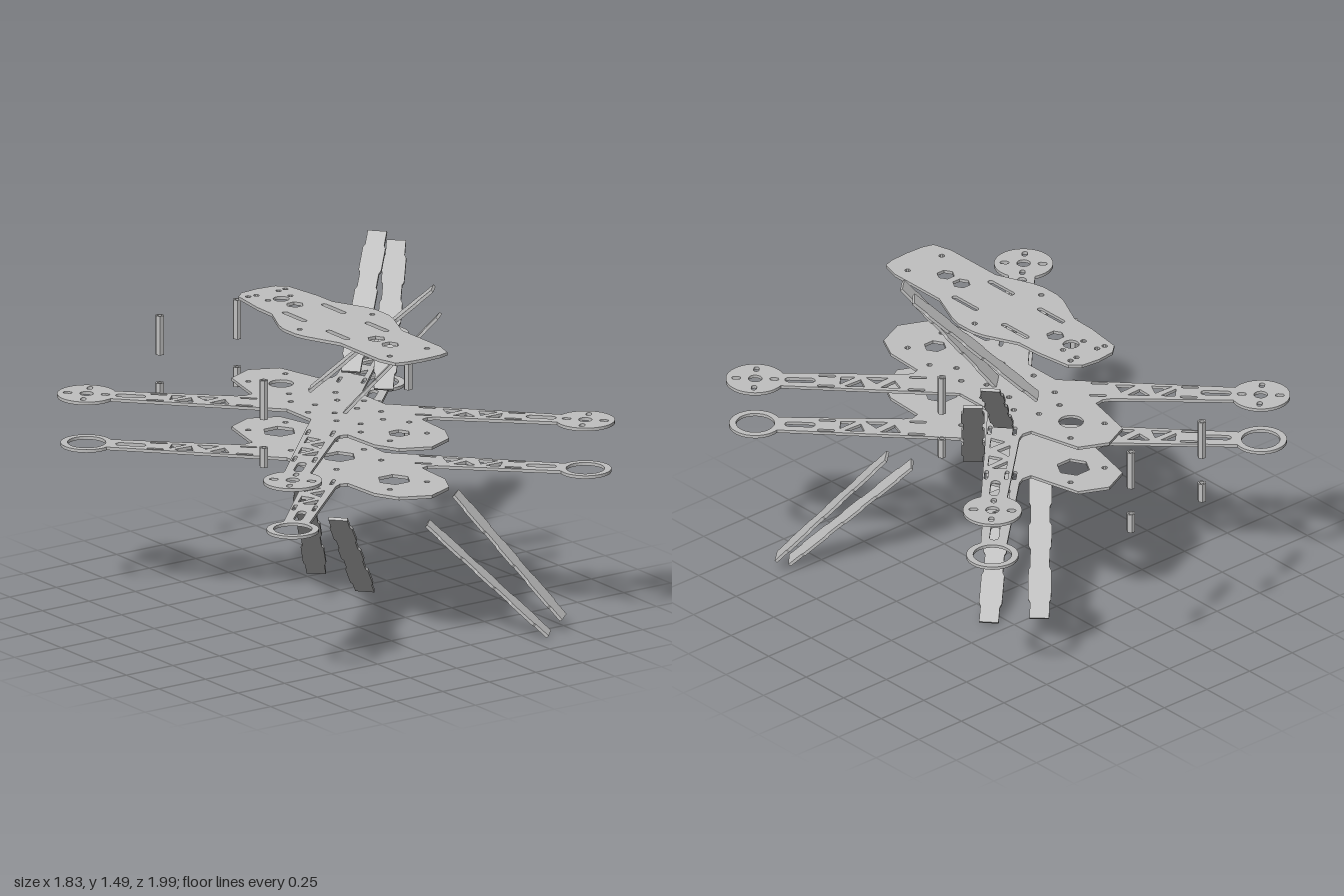
import * as THREE from 'three';

const T = 0.014;                  // sheet thickness
const ZC = 0.075;                 // z where the four arms cross
const TIP = 0.787;                // motor offset in x and z
const REACH = TIP * Math.SQRT2;   // distance from crossing to motor
const gray = new THREE.MeshStandardMaterial({ color: 0xc0c0c0 });
gray.name = 'gray';

const V = (x, y) => new THREE.Vector2(x, y);

// Outlines used as cut-outs
function ngon(cx, cy, r, n = 14, a0 = 0) {
  return Array.from({ length: n }, (_, i) => {
    const a = a0 + (i / n) * Math.PI * 2;
    return V(cx + r * Math.cos(a), cy + r * Math.sin(a));
  });
}
function slot(x0, y0, x1, y1, r) {
  const a = Math.atan2(y1 - y0, x1 - x0), pts = [];
  for (const [x, y, s] of [[x1, y1, -0.5], [x0, y0, 0.5]]) {
    for (let i = 0; i <= 6; i++) {
      const b = a + Math.PI * (s + i / 6);
      pts.push(V(x + r * Math.cos(b), y + r * Math.sin(b)));
    }
  }
  return pts;
}
const both = (f) => [f(1), f(-1)];

// Cut sheet from an outline, extruded along +z
function sheet(outline, holes, depth = T) {
  const shape = new THREE.Shape(outline);
  shape.holes = holes.map((h) => new THREE.Path(h));
  return new THREE.ExtrudeGeometry(shape, { depth, bevelEnabled: false });
}

// Horizontal plate: outline in (x, z), centred on height y
function plate(name, outline, holes, y) {
  const geo = sheet(outline, holes);
  geo.rotateX(Math.PI / 2);
  geo.translate(0, y + T / 2, 0);
  const mesh = new THREE.Mesh(geo, gray);
  mesh.name = name;
  return mesh;
}

// Close a right-hand half outline with its mirror image
function mirrored(half) {
  const other = half.filter((p) => p.x > 0.001).map((p) => V(-p.x, p.y)).reverse();
  return [...half, ...other];
}

// Rounded arm end of radius R; front arms have sz = 1
function armEnd(sz, R) {
  const cx = TIP, cy = ZC + sz * 0.79, a = Math.asin(0.058 / R);
  const mid = sz * Math.PI / 4, n = 36;
  return Array.from({ length: n + 1 }, (_, i) => {
    const b = mid + (Math.PI - a) * (2 * i / n - 1);
    return V(cx + R * Math.cos(b), cy + R * Math.sin(b));
  });
}

// Body with four diagonal arms
function frameOutline(R) {
  return mirrored([
    V(0, -0.6), V(0.13, -0.54), V(0.165, -0.4), V(0.19, -0.295), V(0.235, -0.29), V(0.27, -0.308),
    ...armEnd(-1, R),
    V(0.2, -0.017), V(0.2, 0.167),
    ...armEnd(1, R),
    V(0.27, 0.458), V(0.235, 0.44), V(0.2, 0.45), V(0.19, 0.64), V(0.135, 0.75), V(0, 0.81),
  ]);
}

// Truss windows and slots on every arm
function armHoles() {
  const out = [];
  for (const sx of [1, -1]) for (const sz of [1, -1]) {
    const at = (u, v) => V(sx * (u + v) * Math.SQRT1_2, ZC + sz * (u - v) * Math.SQRT1_2);
    const cut = (u0, v0, u1, v1, r) => {
      const a = at(u0, v0), b = at(u1, v1);
      out.push(slot(a.x, a.y, b.x, b.y, r));
    };
    cut(0.87, 0, 0.965, 0, 0.02);
    for (const v of [-1, 1]) {
      cut(0.77, v * 0.045, 0.83, v * 0.045, 0.008);
      cut(0.37, v * 0.055, 0.43, v * 0.055, 0.008);
    }
    const tri = [
      [[0.74, -0.04], [0.74, 0.025], [0.675, -0.04]],
      [[0.72, 0.043], [0.63, 0.043], [0.65, -0.02]],
      [[0.63, -0.043], [0.53, -0.043], [0.58, 0.012]],
      [[0.56, 0.045], [0.47, 0.045], [0.5, -0.02]],
    ];
    tri.forEach((t) => out.push(t.map(([u, v]) => at(u, v))));
  }
  return out;
}

// Holes at each motor position
function motorHoles(f) {
  return [1, -1].flatMap((sx) => [1, -1].flatMap((sz) => f(sx * TIP, ZC + sz * 0.79)));
}

// Tilted strip with tabs along both edges, from point a to point b
const TABS = [[0, 0.043], [0.1, 0.043], [0.12, 0.051], [0.3, 0.051], [0.32, 0.043], [0.43, 0.043],
  [0.45, 0.051], [0.58, 0.051], [0.6, 0.043], [0.7, 0.043], [0.72, 0.051], [0.88, 0.051], [0.9, 0.043], [1, 0.043]];
function strip(name, a, b) {
  const A = new THREE.Vector3(...a), B = new THREE.Vector3(...b);
  const dir = B.clone().sub(A), len = dir.length();
  dir.normalize();
  const side = new THREE.Vector3(0, 1, 0).cross(dir).normalize();
  const normal = side.clone().cross(dir);
  const edge = TABS.map(([t, w]) => V(w, t * len));
  const geo = sheet([...edge, ...edge.map((p) => V(-p.x, p.y)).reverse()], []);
  geo.translate(0, 0, -T / 2);
  geo.applyMatrix4(new THREE.Matrix4().makeBasis(side, dir, normal).setPosition(A));
  const mesh = new THREE.Mesh(geo, gray);
  mesh.name = name;
  return mesh;
}

// Hollow hexagonal spacer
function standoff(name, x, z, y0, y1) {
  const geo = sheet(ngon(0, 0, 0.02, 6), [ngon(0, 0, 0.011, 12)], y1 - y0);
  geo.rotateX(Math.PI / 2);
  geo.translate(x, y1, z);
  const mesh = new THREE.Mesh(geo, gray);
  mesh.name = name;
  return mesh;
}

export function createModel() {
  const model = new THREE.Group();
  model.name = 'explodedDroneFrame';

  // Top plate
  const topOutline = mirrored([
    V(0, -0.53), V(0.09, -0.52), V(0.135, -0.48), V(0.16, -0.3), V(0.163, -0.185), V(0.235, -0.03), V(0.25, 0.03),
    V(0.25, 0.12), V(0.235, 0.18), V(0.165, 0.345), V(0.165, 0.64), V(0.14, 0.73), V(0.09, 0.745), V(0, 0.75),
  ]);
  model.add(plate('topPlate', topOutline, [
    ...[-0.24, 0.385, 0.49].map((z) => ngon(0, z, 0.04, 6)),
    ngon(0, -0.345, 0.036, 18),
    ...both((s) => slot(s * 0.105, -0.165, s * 0.105, -0.02, 0.013)),
    ...both((s) => slot(s * 0.105, 0.17, s * 0.105, 0.31, 0.013)),
    ...[[0.1, -0.455], [0.06, -0.45], [0.06, -0.36], [0.195, 0.075], [0.1, 0.63]]
      .flatMap(([x, z]) => both((s) => ngon(s * x, z, 0.013, 10))),
  ], 1.362));

  // Middle plate with motor mounts
  model.add(plate('middlePlate', frameOutline(0.13), [
    ...armHoles(),
    ...motorHoles((x, z) => [ngon(x, z, 0.03, 18), ...ngon(x, z, 0.084, 4, Math.PI / 4).map((p) => {
      const dx = (p.x - x) * 0.1, dz = (p.y - z) * 0.1;
      return slot(p.x - dx, p.y - dz, p.x + dx, p.y + dz, 0.012);
    })]),
    ngon(0, -0.345, 0.055, 18), ngon(0, 0.56, 0.05, 6),
    ...[[0.1, -0.455], [0.06, -0.2], [0.12, -0.1], [0.06, 0.0], [0.15, 0.075], [0.06, 0.15],
      [0.12, 0.25], [0.06, 0.35], [0.13, 0.45], [0.1, 0.63]]
      .flatMap(([x, z]) => both((s) => ngon(s * x, z, 0.013, 10))),
  ], 0.972));

  // Bottom plate with open rings
  model.add(plate('bottomPlate', frameOutline(0.115), [
    ...armHoles(),
    ...motorHoles((x, z) => [ngon(x, z, 0.085, 28)]),
    ...[-0.36, 0.1, 0.52].map((z) => ngon(0, z, 0.075, 6)),
    ...[[0.1, -0.455], [0.12, -0.1], [0.15, 0.075], [0.12, 0.25], [0.1, 0.63]]
      .flatMap(([x, z]) => both((s) => ngon(s * x, z, 0.013, 10))),
  ], 0.748));

  // Tilted arm strips, upper then lower
  const upper = [
    [[-0.037, 0.9, 0.094], [0.29, 1.44, 0.45]],
    [[0.0, 1.01, -0.12], [0.402, 1.495, 0.248]],
    [[0.29, 1.01, -0.225], [0.69, 1.495, -0.59]],
    [[0.463, 0.9, -0.22], [0.783, 1.44, -0.578]],
  ];
  const lower = [
    [[0.203, 0.068, -0.365], [-0.12, 0.608, -0.008]],
    [[0.328, 0.012, -0.17], [-0.07, 0.502, 0.19]],
    [[0.615, 0.012, 0.83], [0.216, 0.502, 0.468]],
    [[0.703, 0.068, 0.815], [0.378, 0.608, 0.452]],
  ];
  upper.forEach(([a, b], i) => model.add(strip('upperStrip' + (i + 1), a, b)));
  lower.forEach(([a, b], i) => model.add(strip('lowerStrip' + (i + 1), a, b)));

  // Spacers, long above and short below
  for (const [x, z] of [[-0.208, -0.98], [0.208, -0.98], [-0.388, ZC], [0.388, ZC]]) {
    model.add(standoff('longStandoff', x, z, 0.99, 1.17));
    model.add(standoff('shortStandoff', x, z, 0.77, 0.86));
  }
  return model;
}
